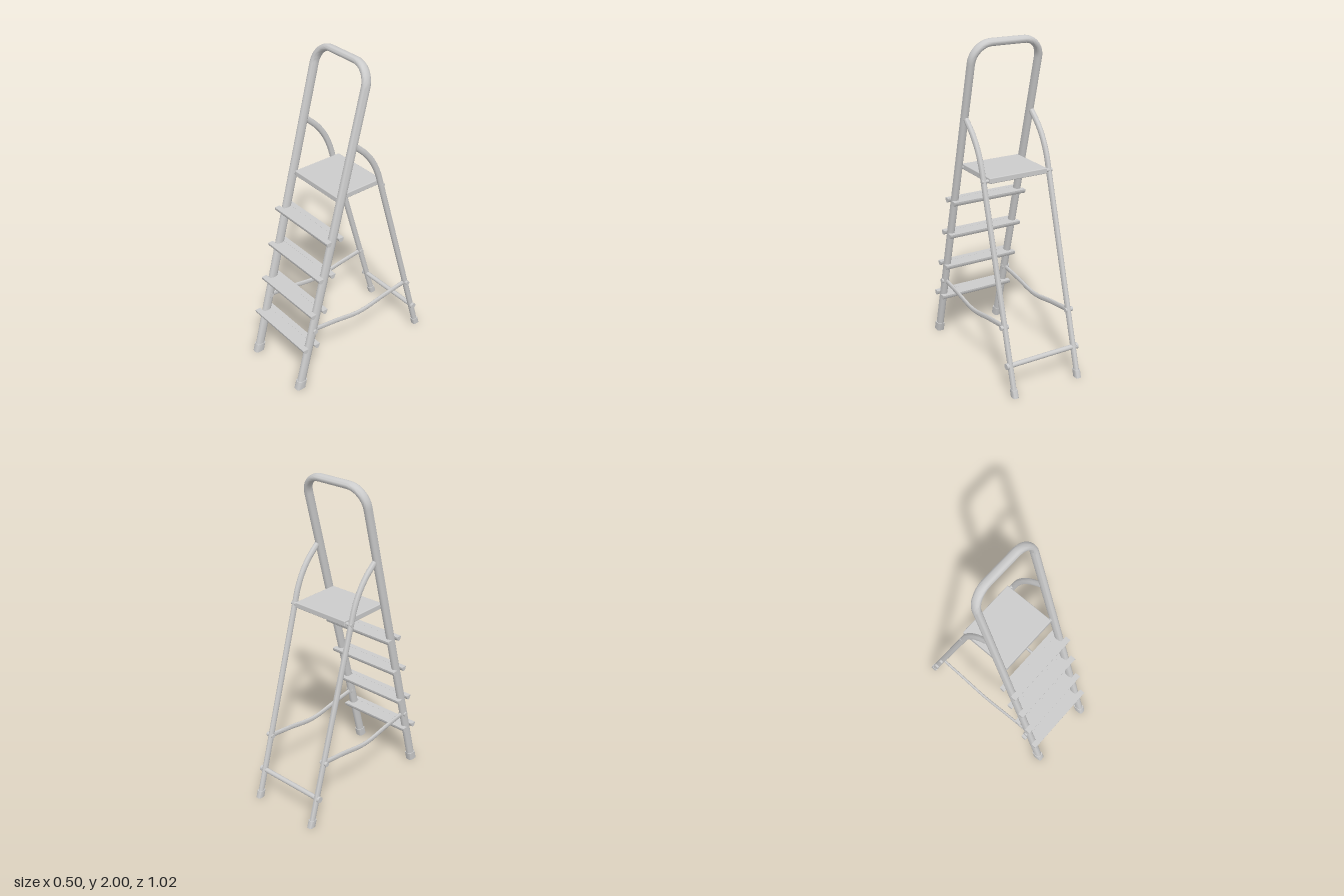
import * as THREE from 'three';
import { toCreasedNormals } from 'three/addons/utils/BufferGeometryUtils.js';
import { RoundedBoxGeometry } from 'three/addons/geometries/RoundedBoxGeometry.js';

const material = new THREE.MeshStandardMaterial({ color: 0xcccccc });
const V = (x, y, z) => new THREE.Vector3(x, y, z);

// Oval tube along a planar path. a: half size along the plane normal, b: half size in the plane.
// power < 1 squares the section; y0 / y1 cut the first / last end level at that height.
function sweep(points, normal, a, b, { y0, y1, power = 0.85, sides = 20 } = {}) {
  const pos = [], index = [], last = points.length - 1;
  const soft = (v) => Math.sign(v) * Math.abs(v) ** power;
  points.forEach((p, i) => {
    const t = points[Math.min(i + 1, last)].clone().sub(points[Math.max(i - 1, 0)]).normalize();
    const side = t.clone().cross(normal);
    const level = i === 0 ? y0 : i === last ? y1 : undefined;
    for (let j = 0; j < sides; j++) {
      const u = (j / sides) * Math.PI * 2;
      const q = p.clone().addScaledVector(normal, a * soft(Math.cos(u))).addScaledVector(side, b * soft(Math.sin(u)));
      if (level !== undefined) q.addScaledVector(t, (level - q.y) / t.y);
      pos.push(q.x, q.y, q.z);
    }
  });
  const c0 = pos.length / 3;
  pos.push(...points[0].toArray(), ...points[last].toArray());
  for (let j = 0; j < sides; j++) {
    const k = (j + 1) % sides;
    for (let i = 0; i < last; i++) {
      const r = i * sides, s = r + sides;
      index.push(r + j, r + k, s + k, r + j, s + k, s + j);
    }
    index.push(c0, k, j, c0 + 1, last * sides + j, last * sides + k);
  }
  const g = new THREE.BufferGeometry();
  g.setAttribute('position', new THREE.Float32BufferAttribute(pos, 3));
  g.setIndex(index);
  return toCreasedNormals(g, 0.7);
}

// Front rail plane: leans back as it rises
const slope = 0.263;
const railZ = (y) => 0.48 - slope * y;
const railNormal = V(0, slope, 1).normalize();
const legZ = (y) => -0.49 + 0.2875 * y;
const X = V(1, 0, 0);

export function createModel() {
  const model = new THREE.Group();
  const add = (name, geometry, x = 0, y = 0, z = 0) => {
    const mesh = new THREE.Mesh(geometry, material);
    mesh.name = name;
    mesh.position.set(x, y, z);
    model.add(mesh);
    return mesh;
  };
  const rod = (name, r, length, x, y, z) =>
    add(name, new THREE.CylinderGeometry(r, r, length, 20).rotateZ(Math.PI / 2), x, y, z);

  // Front frame: two rails joined by a rounded hand loop
  const top = 1.975, bend = 0.115, hx = 0.22;
  const path = [V(hx, 0.01, railZ(0.01))];
  for (const [cx, start] of [[hx - bend, 0], [bend - hx, Math.PI / 2]]) {
    for (let i = 0; i <= 12; i++) {
      const u = start + (i / 12) * Math.PI / 2;
      const y = top - bend + bend * Math.sin(u);
      path.push(V(cx + bend * Math.cos(u), y, railZ(y)));
    }
  }
  path.push(V(-hx, 0.01, railZ(0.01)));
  add('frontFrame', sweep(path, railNormal, 0.0275, 0.02, { y0: 0.01, y1: 0.01 }));

  for (const s of [1, -1]) {
    const x = s * hx;
    // Rear leg: straight below, curving forward to meet the rail
    const leg = [V(x, 0.01, legZ(0.01)), V(x, 0.6, legZ(0.6))];
    const curve = new THREE.CatmullRomCurve3([
      V(x, 1.12, legZ(1.12)), V(x, 1.21, -0.142), V(x, 1.3, -0.115),
      V(x, 1.385, -0.075), V(x, 1.46, -0.02), V(x, 1.53, 0.055),
    ]);
    leg.push(...curve.getPoints(24));
    add('rearLeg', sweep(leg, X, 0.015, 0.018, { y0: 0.01 }));

    // Feet
    const foot = (name, zAt, n, a, b, h) => add(name,
      sweep([V(x, 0, zAt(0)), V(x, h, zAt(h))], n, a, b, { y0: 0, y1: h, power: 0.5 }));
    foot('frontFoot', railZ, railNormal, 0.03, 0.0235, 0.055);
    foot('rearFoot', legZ, X, 0.018, 0.022, 0.045);

    // Sagging side brace with its pins
    const brace = new THREE.CatmullRomCurve3([
      V(x, 0.4, 0.37), V(x, 0.378, 0.2), V(x, 0.352, 0.04),
      V(x, 0.352, -0.04), V(x, 0.378, -0.2), V(x, 0.4, -0.375),
    ]);
    add('sideBrace', sweep(brace.getPoints(32), X, 0.008, 0.016));
    rod('bracePin', 0.015, 0.05, s * 0.224, 0.4, 0.37);
    rod('bracePin', 0.014, 0.05, s * 0.224, 0.4, -0.375);

    // Platform pivots and rear bar end caps
    rod('platformPin', 0.011, 0.05, s * 0.211, 1.215, 0.155);
    rod('platformPin', 0.011, 0.05, s * 0.211, 1.215, -0.148);
    rod('rearBarCap', 0.019, 0.014, s * 0.241, 0.18, legZ(0.18));
  }
  rod('rearBar', 0.015, 0.48, 0, 0.18, legZ(0.18));

  // Steps: thin tread with round-bottomed lips in front of and behind the rails
  const lip = new THREE.Shape();
  lip.moveTo(-0.018, 0);
  lip.absellipse(0, 0, 0.018, 0.028, Math.PI, Math.PI * 2, false);
  lip.closePath();
  const lipGeometry = toCreasedNormals(
    new THREE.ExtrudeGeometry(lip, { depth: 0.5, bevelEnabled: false, curveSegments: 14 })
      .translate(0, 0, -0.25).rotateY(Math.PI / 2), 0.6);
  for (let i = 0; i < 4; i++) {
    const y = 0.301 + i * 0.232, z = railZ(y - 0.015);
    add('stepTread', new THREE.BoxGeometry(0.41, 0.008, 0.09), 0, y - 0.0045, z);
    add('stepFrontLip', lipGeometry, 0, y, z + 0.043);
    add('stepBackLip', lipGeometry, 0, y, z - 0.043);
  }

  // Platform: tray with a rim turned down underneath
  const py = 1.218;
  add('platformTop', new RoundedBoxGeometry(0.386, 0.014, 0.332, 3, 0.005), 0, py + 0.01, 0);
  for (const s of [1, -1]) {
    add('platformRim', new RoundedBoxGeometry(0.012, 0.034, 0.334, 3, 0.005), s * 0.188, py, 0);
    add('platformRim', new RoundedBoxGeometry(0.388, 0.034, 0.012, 3, 0.005), 0, py, s * 0.161);
  }
  return model;
}
